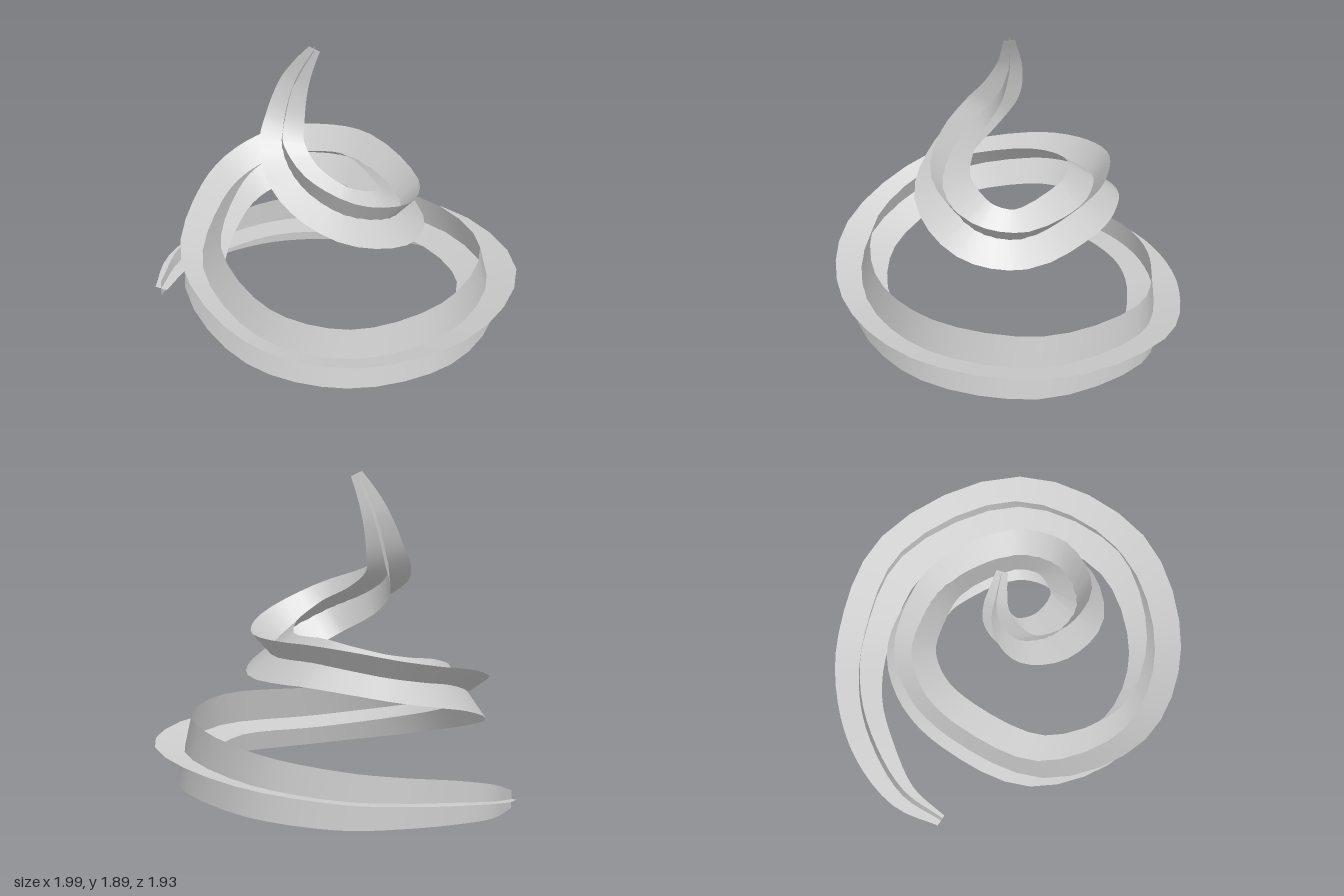
import * as THREE from 'three';

// Stations along the spiral, from the outer foot to the tip:
// centre x, y, z, half width of the flat ribbon, half height of the upright ribbon, roll in degrees
const STATIONS = [
  [-0.965, 0.07, -0.33, 0.035, 0.05, 0],
  [-0.84, 0.10, -0.55, 0.08, 0.095, 0],
  [-0.60, 0.13, -0.715, 0.115, 0.125, 0],
  [-0.30, 0.15, -0.815, 0.125, 0.145, 1],
  [0.05, 0.17, -0.81, 0.145, 0.165, 3],
  [0.53, 0.235, -0.62, 0.16, 0.18, 7],
  [0.83, 0.31, 0.02, 0.17, 0.19, 11],
  [0.56, 0.345, 0.61, 0.16, 0.19, 13],
  [0.0, 0.35, 0.82, 0.15, 0.175, 15],
  [-0.50, 0.43, 0.675, 0.15, 0.18, 19],
  [-0.77, 0.575, 0.20, 0.15, 0.185, 28],
  [-0.63, 0.71, -0.25, 0.15, 0.18, 38],
  [-0.46, 0.765, -0.45, 0.15, 0.175, 43],
  [-0.25, 0.81, -0.53, 0.155, 0.175, 47],
  [-0.05, 0.845, -0.48, 0.16, 0.175, 49],
  [0.14, 0.87, -0.36, 0.16, 0.175, 49],
  [0.345, 0.855, 0.02, 0.16, 0.175, 49],
  [0.27, 0.91, 0.27, 0.16, 0.18, 53],
  [0.0, 1.03, 0.385, 0.16, 0.175, 60],
  [-0.23, 1.155, 0.26, 0.145, 0.155, 70],
  [-0.32, 1.29, 0.08, 0.135, 0.13, 80],
  [-0.295, 1.43, -0.015, 0.115, 0.11, 85],
  [-0.245, 1.62, -0.055, 0.075, 0.085, 88],
  [-0.19, 1.76, -0.045, 0.05, 0.06, 90],
  [-0.13, 1.88, -0.028, 0.033, 0.035, 90],
];
const SEGMENTS = 96;

// Strip of quads between two edges
function ribbon(name, edgeA, edgeB) {
  const positions = [];
  const index = [];
  edgeA.forEach((a, i) => {
    positions.push(...a.toArray(), ...edgeB[i].toArray());
    if (i > 0) {
      const k = 2 * i - 2;
      index.push(k, k + 2, k + 1, k + 1, k + 2, k + 3);
    }
  });
  const geometry = new THREE.BufferGeometry();
  geometry.setAttribute('position', new THREE.Float32BufferAttribute(positions, 3));
  geometry.setIndex(index);
  geometry.computeVertexNormals();
  const material = new THREE.MeshStandardMaterial({ color: 0xcccccc, side: THREE.DoubleSide });
  const mesh = new THREE.Mesh(geometry, material);
  mesh.name = name;
  return mesh;
}

export function createModel() {
  const path = new THREE.CatmullRomCurve3(STATIONS.map((s) => new THREE.Vector3(s[0], s[1], s[2])));
  const section = new THREE.CatmullRomCurve3(
    STATIONS.map((s) => new THREE.Vector3(s[3], s[4], THREE.MathUtils.degToRad(s[5]))), false, 'catmullrom');
  const outer = [], inner = [], top = [], bottom = [];

  // Cross-shaped section, facing away from the axis, that rolls inward as the spiral climbs
  for (let i = 0; i <= SEGMENTS; i++) {
    const t = i / SEGMENTS;
    const centre = path.getPoint(t);
    const tangent = path.getTangent(t);
    const side = new THREE.Vector3(centre.x, 0, centre.z).projectOnPlane(tangent).normalize();
    const rise = new THREE.Vector3().crossVectors(tangent, side);
    const { x: halfWidth, y: halfHeight, z: roll } = section.getPoint(t);
    const c = Math.cos(roll), s = Math.sin(roll);
    const flat = side.clone().multiplyScalar(c).addScaledVector(rise, s);
    const upright = rise.clone().multiplyScalar(c).addScaledVector(side, -s);
    outer.push(centre.clone().addScaledVector(flat, halfWidth));
    inner.push(centre.clone().addScaledVector(flat, -halfWidth));
    top.push(centre.clone().addScaledVector(upright, halfHeight));
    bottom.push(centre.clone().addScaledVector(upright, -halfHeight));
  }

  const group = new THREE.Group();
  group.name = 'spiralRibbon';
  group.add(ribbon('flatRibbon', inner, outer), ribbon('uprightRibbon', bottom, top));
  return group;
}
